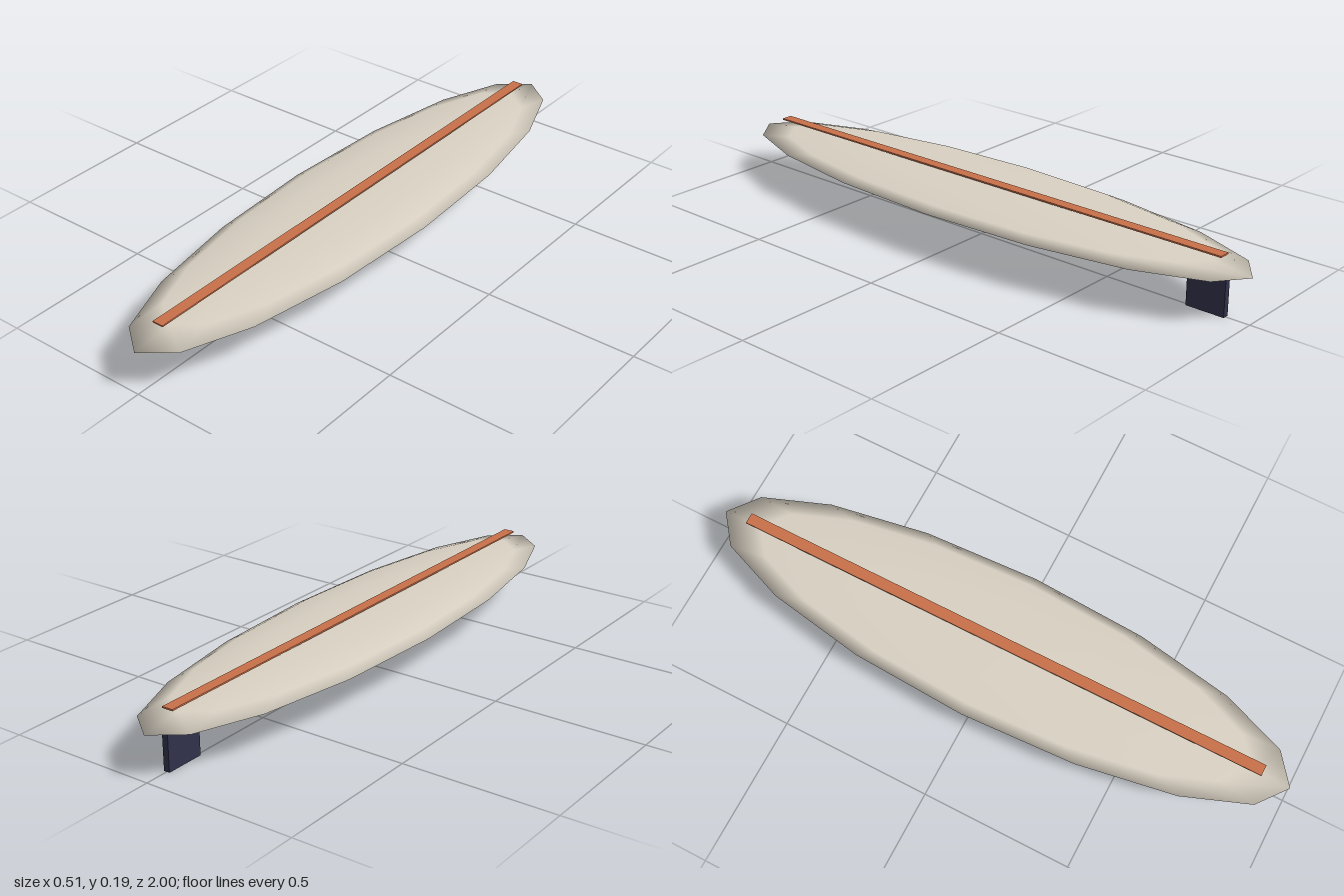
import * as THREE from 'three';

export function createModel() {
  const group = new THREE.Group();
  const mat = (name, color) => Object.assign(new THREE.MeshStandardMaterial({ color }), { name });
  const cream = mat('cream', 0xd8d0c2);
  const orange = mat('orange', 0xc8704a);
  const navy = mat('navy', 0x30304a);

  const add = (name, geometry, material, x, y, z) => {
    const mesh = new THREE.Mesh(geometry, material);
    mesh.name = name;
    mesh.position.set(x, y, z);
    group.add(mesh);
  };

  // Board: a low-poly sphere flattened and stretched, with smooth normals
  const board = new THREE.SphereGeometry(1, 16, 6).scale(0.255, 0.0365, 1);
  add('board', board, cream, 0, 0.1445, 0);

  // Stripe along the deck, just above its crown
  add('stripe', new THREE.BoxGeometry(0.037, 0.005, 1.81), orange, 0, 0.187, 0);

  // Fin under the tail
  add('fin', new THREE.BoxGeometry(0.02, 0.12, 0.13), navy, 0, 0.06, -0.855);

  return group;
}
